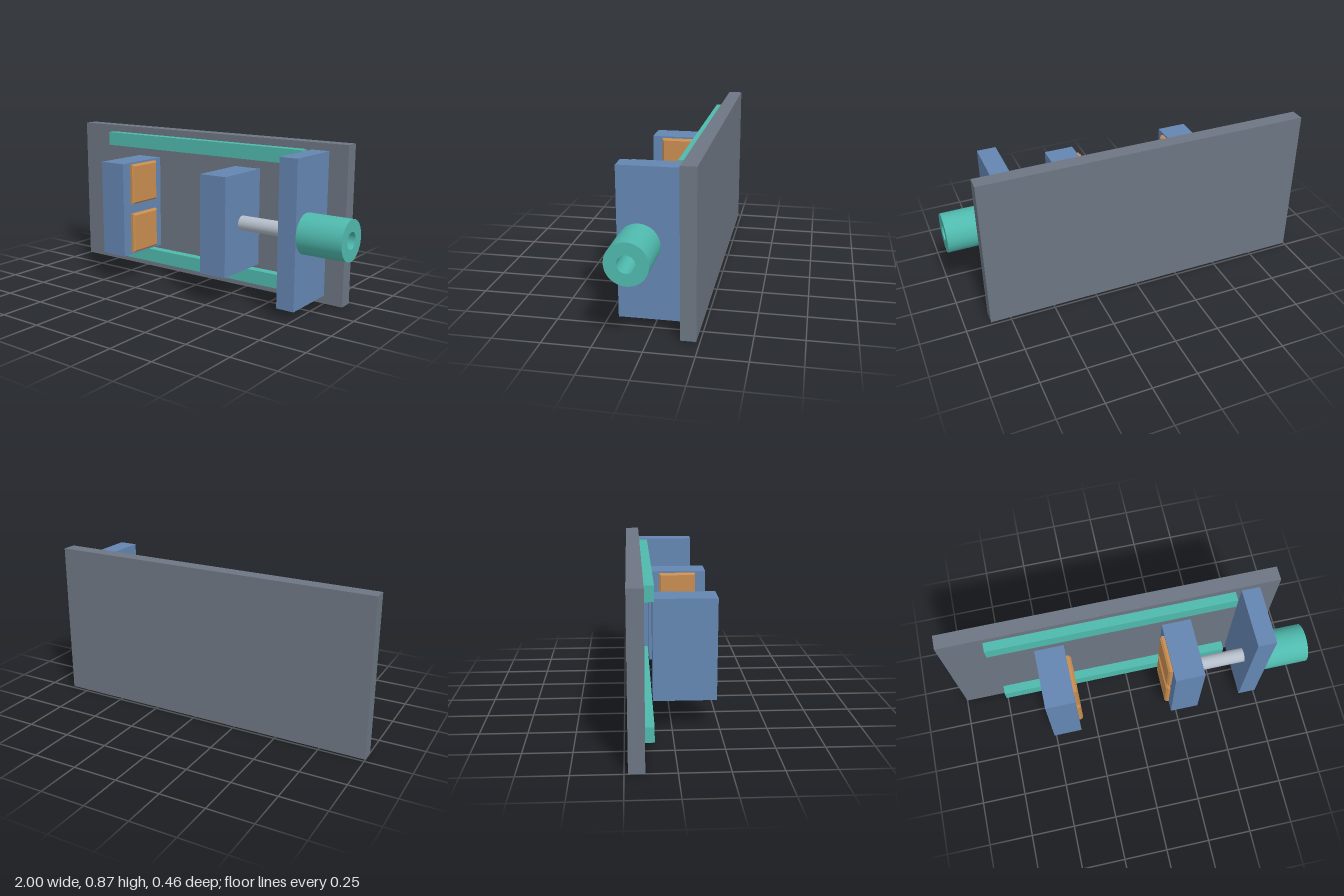
import * as THREE from 'three';

export function createModel() {
  const model = new THREE.Group();
  model.name = 'clampFixture';

  const material = (name, color) => {
    const m = new THREE.MeshStandardMaterial({ color });
    m.name = name;
    return m;
  };
  const slate = material('slateGrey', 0x6c7682);
  const blue = material('steelBlue', 0x6486b2);
  const teal = material('teal', 0x4fb9ad);
  const copper = material('copper', 0xc88d50);
  const silver = material('silver', 0xb4bdc9);

  const add = (name, geometry, mat) => {
    const mesh = new THREE.Mesh(geometry, mat);
    mesh.name = name;
    model.add(mesh);
    return mesh;
  };
  // Box given by its limits on each axis
  const block = (name, mat, [x0, x1], [y0, y1], [z0, z1]) =>
    add(name, new THREE.BoxGeometry(x1 - x0, y1 - y0, z1 - z0), mat)
      .position.set((x0 + x1) / 2, (y0 + y1) / 2, (z0 + z1) / 2);

  // Back plate and the two guide rails
  block('backPlate', slate, [-1, 0.86], [0, 0.872], [-0.232, -0.152]);
  block('lowerRail', teal, [-0.755, 0.615], [0.045, 0.125], [-0.152, -0.1]);
  block('upperRail', teal, [-0.755, 0.615], [0.752, 0.832], [-0.152, -0.1]);

  // Jaws and the end block that carries the screw
  block('fixedJaw', blue, [-0.505, -0.343], [0.166, 0.708], [-0.1, 0.232]);
  block('slidingJaw', blue, [0.2, 0.362], [0.166, 0.708], [-0.1, 0.232]);
  block('endBlock', blue, [0.648, 0.75], [0.045, 0.832], [-0.152, 0.178]);

  // Chamfered grip pads, their rear chamfer sunk into the jaws
  const bevel = 0.01;
  const padW = 0.212 / 2 - bevel, padH = 0.23 / 2 - bevel;
  const outline = new THREE.Shape([
    new THREE.Vector2(-padW, -padH), new THREE.Vector2(padW, -padH),
    new THREE.Vector2(padW, padH), new THREE.Vector2(-padW, padH),
  ]);
  const padGeometry = new THREE.ExtrudeGeometry(outline, {
    depth: 0.015, bevelEnabled: true, bevelSize: bevel, bevelThickness: bevel, bevelSegments: 1,
  });
  for (const [jaw, x, side] of [['fixed', -0.343, 1], ['sliding', 0.2, -1]]) {
    for (const [level, y] of [['Lower', 0.295], ['Upper', 0.583]]) {
      const pad = add(`${jaw}${level}Pad`, padGeometry, copper);
      pad.rotation.y = side * Math.PI / 2;
      pad.position.set(x, y, 0.066);
    }
  }

  // Screw shaft
  const axisY = 0.437, axisZ = 0.07;
  const shaft = add('screwShaft', new THREE.CylinderGeometry(0.04, 0.04, 0.393, 48), silver);
  shaft.rotation.z = -Math.PI / 2;
  shaft.position.set(0.362 + 0.393 / 2, axisY, axisZ);

  // Hollow collar
  const ring = new THREE.Shape().absarc(0, 0, 0.108, 0, Math.PI * 2, false);
  ring.holes.push(new THREE.Path().absarc(0, 0, 0.045, 0, Math.PI * 2, true));
  const collar = add('collar', new THREE.ExtrudeGeometry(ring, {
    depth: 0.25, bevelEnabled: false, curveSegments: 64,
  }), teal);
  collar.rotation.y = Math.PI / 2;
  collar.position.set(0.75, axisY, axisZ);

  return model;
}
